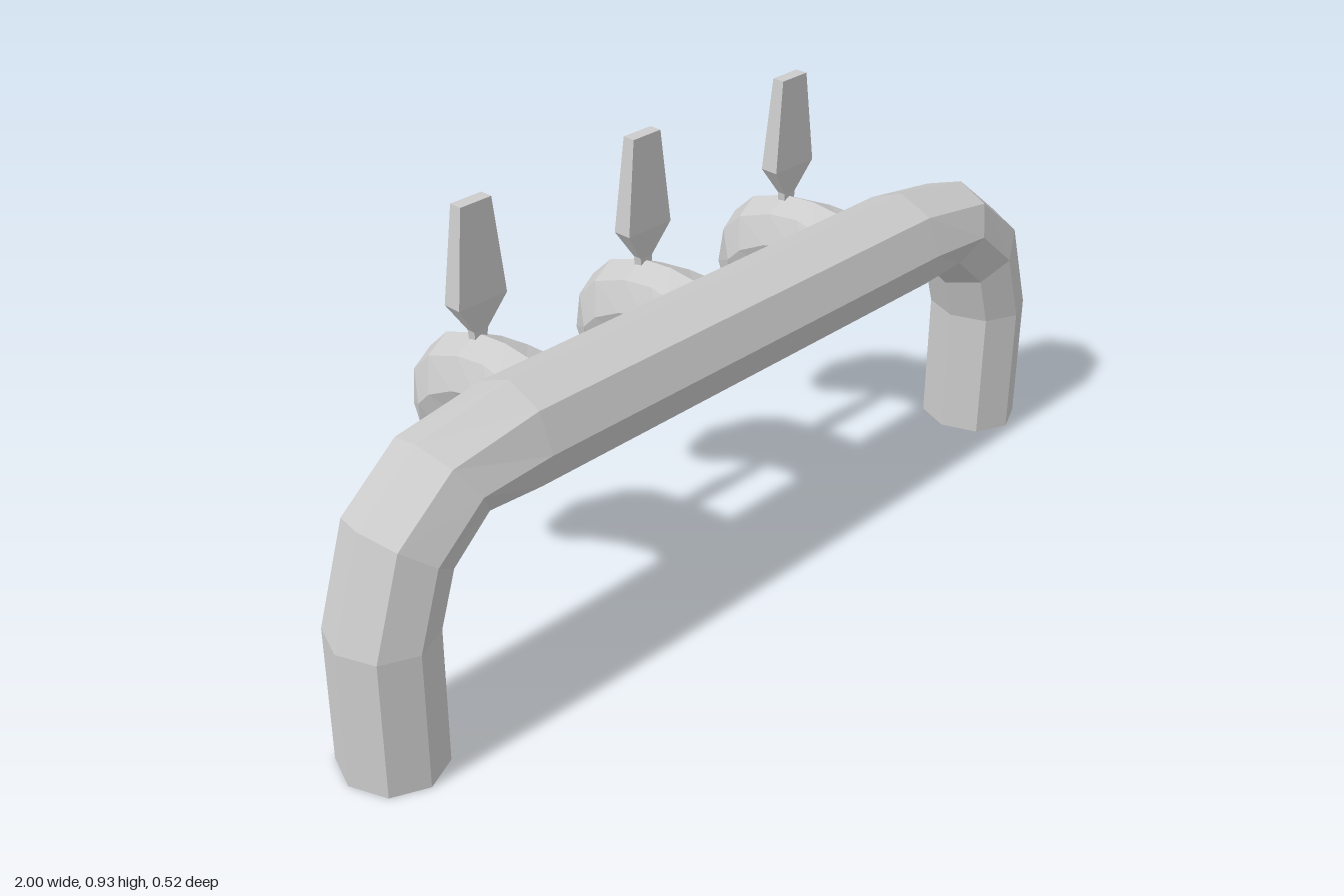
import * as THREE from 'three';

const material = new THREE.MeshStandardMaterial({ color: 0xcccccc, flatShading: true });

// One cross-section: a and b are opposite points, side is the half-width vector
function section(a, b, side, sides = 8) {
  const centre = a.clone().add(b).multiplyScalar(0.5);
  const half = a.clone().sub(b).multiplyScalar(0.5);
  const phase = sides === 4 ? Math.PI / 4 : 0;
  const grow = sides === 4 ? Math.SQRT2 : 1;
  return Array.from({ length: sides }, (_, i) => {
    const t = phase + (i / sides) * Math.PI * 2;
    return centre.clone()
      .addScaledVector(half, Math.cos(t) * grow)
      .addScaledVector(side, Math.sin(t) * grow);
  });
}

// Skin a list of cross-sections and close both ends
function loft(name, rings) {
  const pts = [];
  const n = rings[0].length;
  for (let r = 0; r < rings.length - 1; r++) {
    for (let i = 0; i < n; i++) {
      const j = (i + 1) % n;
      const [a, b, c, d] = [rings[r][i], rings[r][j], rings[r + 1][j], rings[r + 1][i]];
      pts.push(a, b, c, a, c, d);
    }
  }
  const first = rings[0], last = rings[rings.length - 1];
  for (let i = 1; i < n - 1; i++) {
    pts.push(first[0], first[i + 1], first[i], last[0], last[i], last[i + 1]);
  }
  const geometry = new THREE.BufferGeometry().setFromPoints(pts);
  geometry.computeVertexNormals();
  const mesh = new THREE.Mesh(geometry, material);
  mesh.name = name;
  return mesh;
}

// Arched pipe: outer x, y and inner x, y of each section on one half
function createPipe() {
  const half = [
    [1, 0, 0.79, 0],
    [1, 0.3, 0.79, 0.3],
    [0.93, 0.525, 0.76, 0.395],
    [0.79, 0.64, 0.68, 0.47],
    [0.57, 0.68, 0.57, 0.455],
  ];
  const z = 0.147;
  const side = new THREE.Vector3(0, 0, 0.1125);
  const ring = (s) => ([ox, oy, ix, iy]) =>
    section(new THREE.Vector3(s * ox, oy, z), new THREE.Vector3(s * ix, iy, z), side);
  return loft('archedPipe', [...half.map(ring(-1)), ...half.slice().reverse().map(ring(1))]);
}

// Curved spout: upper z, y, lower z, y and half-width, ending in a recessed outlet
function createSpout() {
  const rows = [
    [0.1, 0.642, 0.1, 0.487, 0.1],
    [0.06, 0.646, 0.05, 0.487, 0.092],
    [0, 0.652, 0, 0.487, 0.08],
    [-0.08, 0.645, -0.065, 0.458, 0.08],
    [-0.175, 0.613, -0.112, 0.417, 0.08],
    [-0.23, 0.56, -0.13, 0.398, 0.078],
    [-0.258, 0.455, -0.143, 0.38, 0.06],
    [-0.24, 0.36, -0.155, 0.36, 0.035],
    [-0.225, 0.36, -0.17, 0.36, 0.023],
    [-0.225, 0.395, -0.17, 0.395, 0.023],
  ];
  return loft('spout', rows.map(([uz, uy, lz, ly, w]) => section(
    new THREE.Vector3(0, uy, uz), new THREE.Vector3(0, ly, lz), new THREE.Vector3(w, 0, 0))));
}

// Upright lever: height, half-width and half-thickness
function createLever() {
  const rows = [
    [0.62, 0.014, 0.009],
    [0.655, 0.017, 0.01],
    [0.72, 0.06, 0.021],
    [0.925, 0.038, 0.014],
  ];
  const z = -0.079;
  return loft('lever', rows.map(([y, w, d]) => section(
    new THREE.Vector3(0, y, z + d), new THREE.Vector3(0, y, z - d), new THREE.Vector3(w, 0, 0), 4)));
}

export function createModel() {
  const model = new THREE.Group();
  model.name = 'tripleTap';
  model.add(createPipe());
  for (const x of [-0.45, 0, 0.45]) {
    const tap = new THREE.Group();
    tap.name = 'tap';
    tap.add(createSpout(), createLever());
    tap.position.x = x;
    model.add(tap);
  }
  return model;
}
